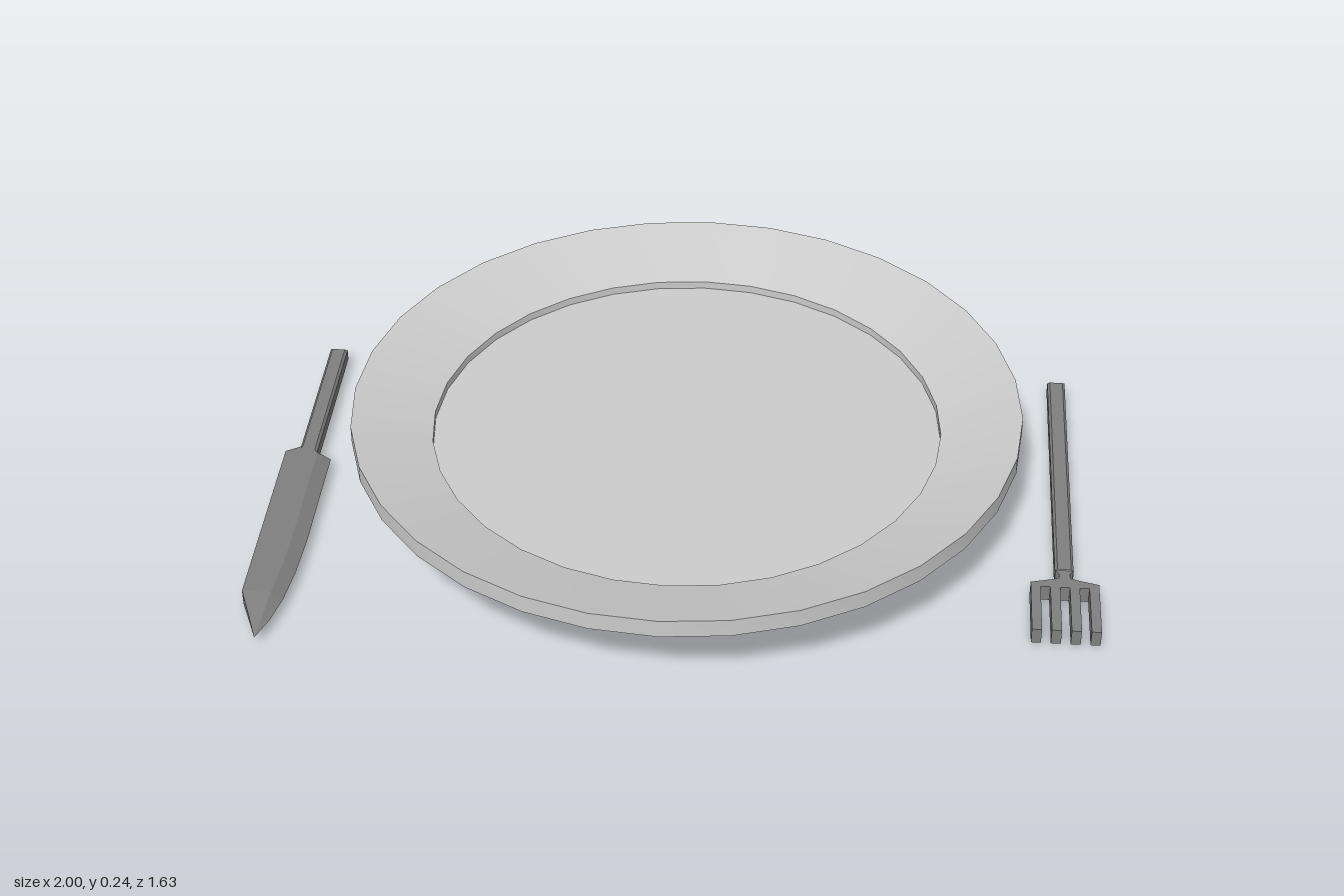
import * as THREE from 'three';
import { toCreasedNormals } from 'three/addons/utils/BufferGeometryUtils.js';

const china = new THREE.MeshStandardMaterial({ color: 0xcccccc });
const steel = new THREE.MeshStandardMaterial({ color: 0x808080, flatShading: true });

const BOTTOM = 0.01, TOP = 0.05, MID = 0.03;

function part(name, geometry, material) {
  const mesh = new THREE.Mesh(geometry, material);
  mesh.name = name;
  return mesh;
}

// Extrudes an outline of [x, z] points upwards between two heights
function slab(points, y0, y1, bevel = 0) {
  const shape = new THREE.Shape(points.map(([x, z]) => new THREE.Vector2(x, z)));
  const geometry = new THREE.ExtrudeGeometry(shape, {
    depth: y1 - y0 - 2 * bevel,
    bevelEnabled: bevel > 0,
    bevelSize: bevel,
    bevelThickness: bevel,
    bevelOffset: -bevel,
    bevelSegments: 1,
  });
  return geometry.rotateX(Math.PI / 2).translate(0, y1 - bevel, 0);
}

function handle(x, z0, z1) {
  const w = 0.022;
  return slab([[x - w, z0], [x + w, z0], [x + w, z1], [x - w, z1]], BOTTOM, TOP, 0.006);
}

// Plate: foot, flared underside, upright lip, sloping rim and sunken floor
function createPlate() {
  const profile = [
    [0, 0], [0.43, 0], [0.43, 0.055], [0.815, 0.195], [0.815, 0.24],
    [0.62, 0.18], [0.62, 0.16], [0, 0.16],
  ].map(([r, y]) => new THREE.Vector2(r, y));
  return part('plate', toCreasedNormals(new THREE.LatheGeometry(profile, 32), 0.28), china);
}

// Fork: beveled handle, narrow neck and a head with four tines
function createFork() {
  const fork = new THREE.Group();
  fork.name = 'fork';
  const cx = 0.92, half = 0.08, tine = 0.023, tip = 0.555, root = 0.4;
  const gap = (2 * half - 4 * tine) / 3;
  const outline = [[-0.022, 0.338], [-0.013, 0.35], [-0.013, 0.366], [-0.03, 0.372], [-half, 0.385]];
  for (let i = 0; i < 4; i++) {
    const x = -half + i * (tine + gap);
    if (i > 0) outline.push([x, root]);
    outline.push([x, tip], [x + tine, tip]);
    if (i < 3) outline.push([x + tine, root]);
  }
  outline.push([half, 0.385], [0.03, 0.372], [0.013, 0.366], [0.013, 0.35], [0.022, 0.338]);
  fork.add(part('forkHandle', handle(cx, -0.425, 0.34), steel));
  fork.add(part('forkHead', slab(outline.map(([x, z]) => [cx + x, z]), BOTTOM, TOP), steel));
  return fork;
}

// Blade lofted from five-sided sections: thick spine on -x, sharp edge on +x
function bladeGeometry() {
  // z, spine x, start of the edge bevel, cutting edge x, half thickness
  const sections = [
    [0.0, -0.967, -0.935, -0.923, 0.02],
    [0.02, -1, -0.92, -0.888, 0.02],
    [0.34, -1, -0.92, -0.888, 0.02],
    [0.46, -1, -0.923, -0.893, 0.02],
    [0.56, -1, -0.932, -0.904, 0.02],
    [0.64, -0.968, -0.938, -0.922, 0.0095],
    [0.7, -0.945, -0.945, -0.945, 0],
  ];
  const positions = [], index = [], n = 5;
  for (const [z, spine, bevel, edge, h] of sections) {
    positions.push(spine, MID - h, z, bevel, MID - h, z, edge, MID, z,
      bevel, MID + h, z, spine, MID + h, z);
  }
  for (let s = 0; s < sections.length - 1; s++) {
    for (let i = 0; i < n; i++) {
      const a = s * n + i, b = s * n + (i + 1) % n;
      index.push(a, b, b + n, a, b + n, a + n);
    }
  }
  for (let i = 1; i < n - 1; i++) index.push(0, i + 1, i);
  const geometry = new THREE.BufferGeometry();
  geometry.setAttribute('position', new THREE.Float32BufferAttribute(positions, 3));
  geometry.setIndex(index);
  const flat = geometry.toNonIndexed();
  flat.computeVertexNormals();
  return flat;
}

// Knife: beveled handle and pointed blade
function createKnife() {
  const knife = new THREE.Group();
  knife.name = 'knife';
  knife.add(part('knifeHandle', handle(-0.945, -0.43, 0.02), steel));
  knife.add(part('knifeBlade', bladeGeometry(), steel));
  return knife;
}

export function createModel() {
  const model = new THREE.Group();
  model.name = 'placeSetting';
  model.add(createPlate(), createFork(), createKnife());
  return model;
}
